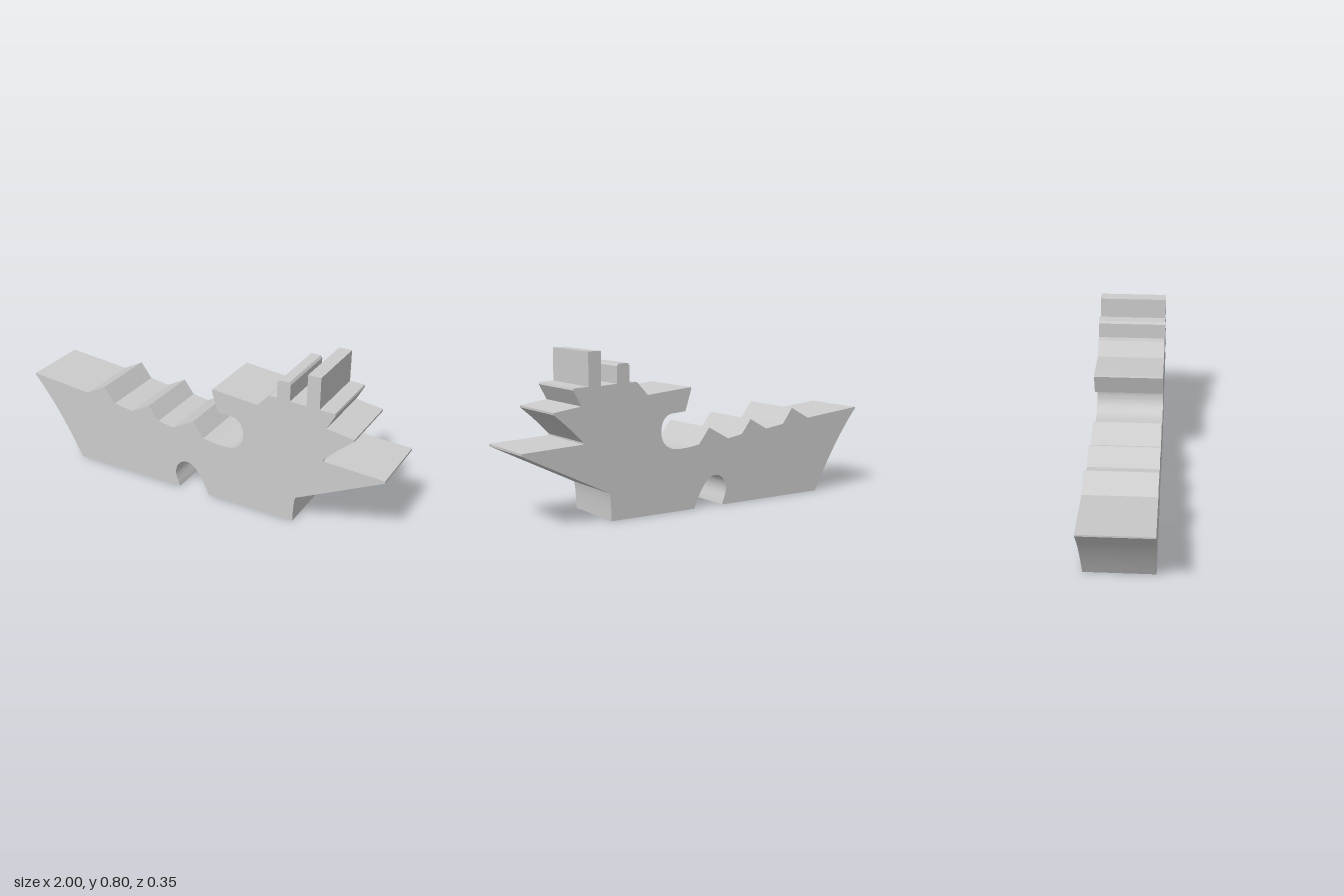
import * as THREE from 'three';
import { toCreasedNormals } from 'three/addons/utils/BufferGeometryUtils.js';

const DEPTH = 0.35;

// Ship silhouette in the XY plane, drawn clockwise from the foot of the bow
function shipOutline() {
  const s = new THREE.Shape();
  const lines = (...pts) => pts.forEach(([x, y]) => s.lineTo(x, y));

  // hollow bow
  s.moveTo(-0.72, 0);
  s.quadraticCurveTo(-0.855, 0.262, -1, 0.425);
  // foredeck with three ridges
  lines([-1, 0.434], [-0.66, 0.4], [-0.55, 0.46], [-0.49, 0.38], [-0.38, 0.365],
    [-0.277, 0.422], [-0.222, 0.35], [-0.135, 0.335], [-0.018, 0.4], [0.042, 0.322]);
  // round notch under the bridge
  s.quadraticCurveTo(0.1, 0.309, 0.165, 0.309);
  s.bezierCurveTo(0.23, 0.309, 0.265, 0.345, 0.265, 0.4);
  s.bezierCurveTo(0.265, 0.455, 0.235, 0.49, 0.185, 0.487);
  lines([0.125, 0.492]);
  // bridge deck
  lines([0.09, 0.6], [0.094, 0.608], [0.34, 0.585], [0.4, 0.65], [0.44, 0.65]);
  // small funnel
  lines([0.44, 0.73], [0.45, 0.742], [0.5, 0.742], [0.508, 0.73], [0.508, 0.648]);
  // tall funnel
  lines([0.593, 0.643], [0.593, 0.804], [0.659, 0.804], [0.659, 0.643]);
  // stepped stern
  lines([0.735, 0.64], [0.738, 0.63], [0.697, 0.555], [0.838, 0.535], [0.838, 0.525]);
  s.quadraticCurveTo(0.76, 0.462, 0.69, 0.387);
  lines([0.69, 0.379], [1, 0.364], [1, 0.353], [0.555, 0.135]);
  s.quadraticCurveTo(0.545, 0.09, 0.545, 0);
  // arch in the keel
  lines([0.073, 0]);
  s.bezierCurveTo(0.035, 0.09, -0.005, 0.157, -0.055, 0.157);
  s.bezierCurveTo(-0.095, 0.157, -0.122, 0.12, -0.122, 0.08);
  s.bezierCurveTo(-0.122, 0.05, -0.108, 0.035, -0.1, 0);
  s.closePath();
  return s;
}

export function createModel() {
  const group = new THREE.Group();
  group.name = 'ship';
  const geometry = new THREE.ExtrudeGeometry(shipOutline(), {
    depth: DEPTH, bevelEnabled: false, curveSegments: 16,
  });
  geometry.translate(0, 0, -DEPTH / 2);
  const hull = new THREE.Mesh(
    toCreasedNormals(geometry, Math.PI / 7),
    new THREE.MeshStandardMaterial({ color: 0xcccccc }),
  );
  hull.name = 'shipBody';
  group.add(hull);
  return group;
}
